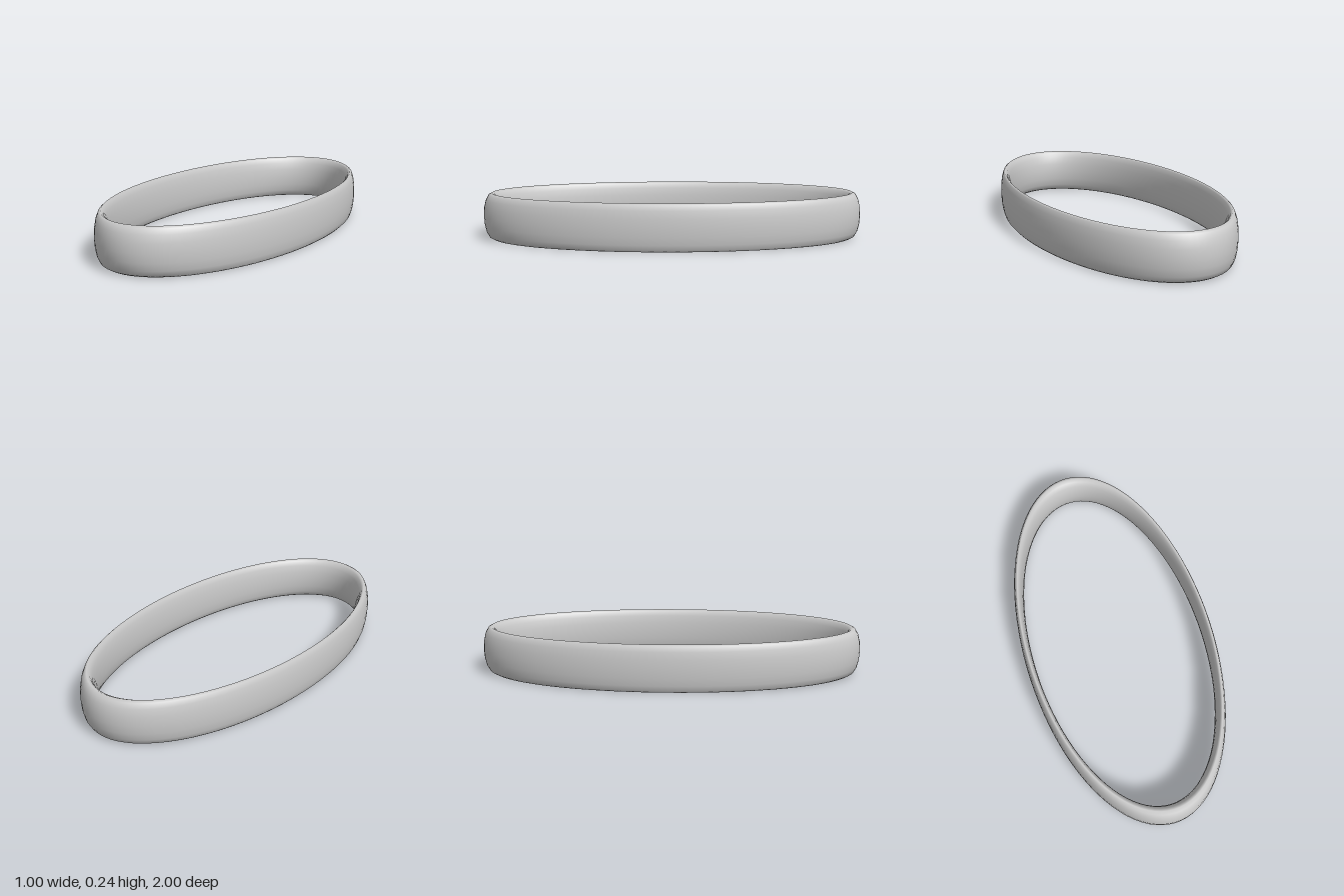
import * as THREE from 'three';

export function createModel() {
  const group = new THREE.Group();
  group.name = 'ovalBand';

  const height = 0.24;   // band height
  const wall = 0.09;     // wall thickness at the long ends
  const halfWidth = 0.5; // long half-axis is 1

  // Flat-lying torus, stretched upwards into a band and squeezed into an oval
  const geometry = new THREE.TorusGeometry(1 - wall / 2, wall / 2, 16, 96);
  geometry.rotateX(-Math.PI / 2);
  geometry.scale(halfWidth, height / wall, 1);
  geometry.translate(0, height / 2, 0);

  const band = new THREE.Mesh(geometry, new THREE.MeshStandardMaterial({ color: 0xcccccc }));
  band.name = 'band';
  group.add(band);
  return group;
}
